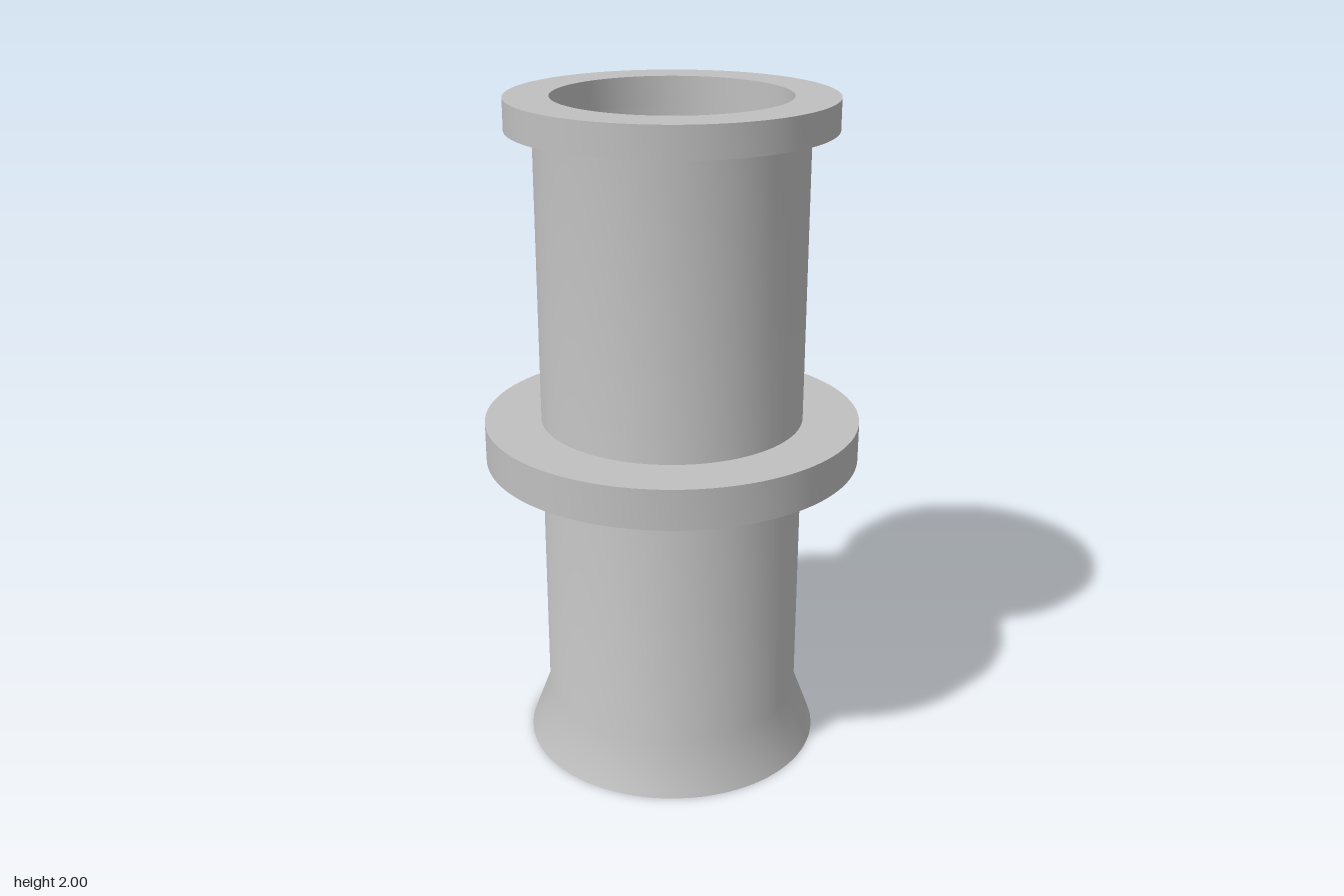
import * as THREE from 'three';
import { toCreasedNormals } from 'three/addons/utils/BufferGeometryUtils.js';

const SEGMENTS = 96;
const BORE = 0.34, WALL = 0.39;   // inner and outer pipe radius
const FLANGE_Y = 1.91;            // underside of the top flange

export function createModel() {
  const group = new THREE.Group();
  const metal = new THREE.MeshStandardMaterial({ color: 0xc0c0c0 });
  metal.name = 'grey metal';

  // Revolve a [radius, height] profile: up the outside, down the inside
  const addRing = (name, profile) => {
    const points = profile.map(([r, y]) => new THREE.Vector2(r, y));
    const geometry = toCreasedNormals(new THREE.LatheGeometry(points, SEGMENTS), 0.7);
    const mesh = new THREE.Mesh(geometry, metal);
    mesh.name = name;
    group.add(mesh);
  };

  // Hollow pipe with a flared foot
  addRing('pipe', [
    [BORE, FLANGE_Y], [BORE, 0.16], [0.395, 0], [0.45, 0], [WALL, 0.16], [WALL, FLANGE_Y],
  ]);

  // Wide collar around the middle
  addRing('middleCollar', [
    [WALL, 0.935], [0.557, 0.935], [0.557, 1.055], [WALL, 1.055],
  ]);

  // Top flange, continuing the bore up to the rim
  addRing('topFlange', [
    [WALL, FLANGE_Y], [0.468, FLANGE_Y], [0.468, 2], [BORE, 2], [BORE, FLANGE_Y],
  ]);

  return group;
}
